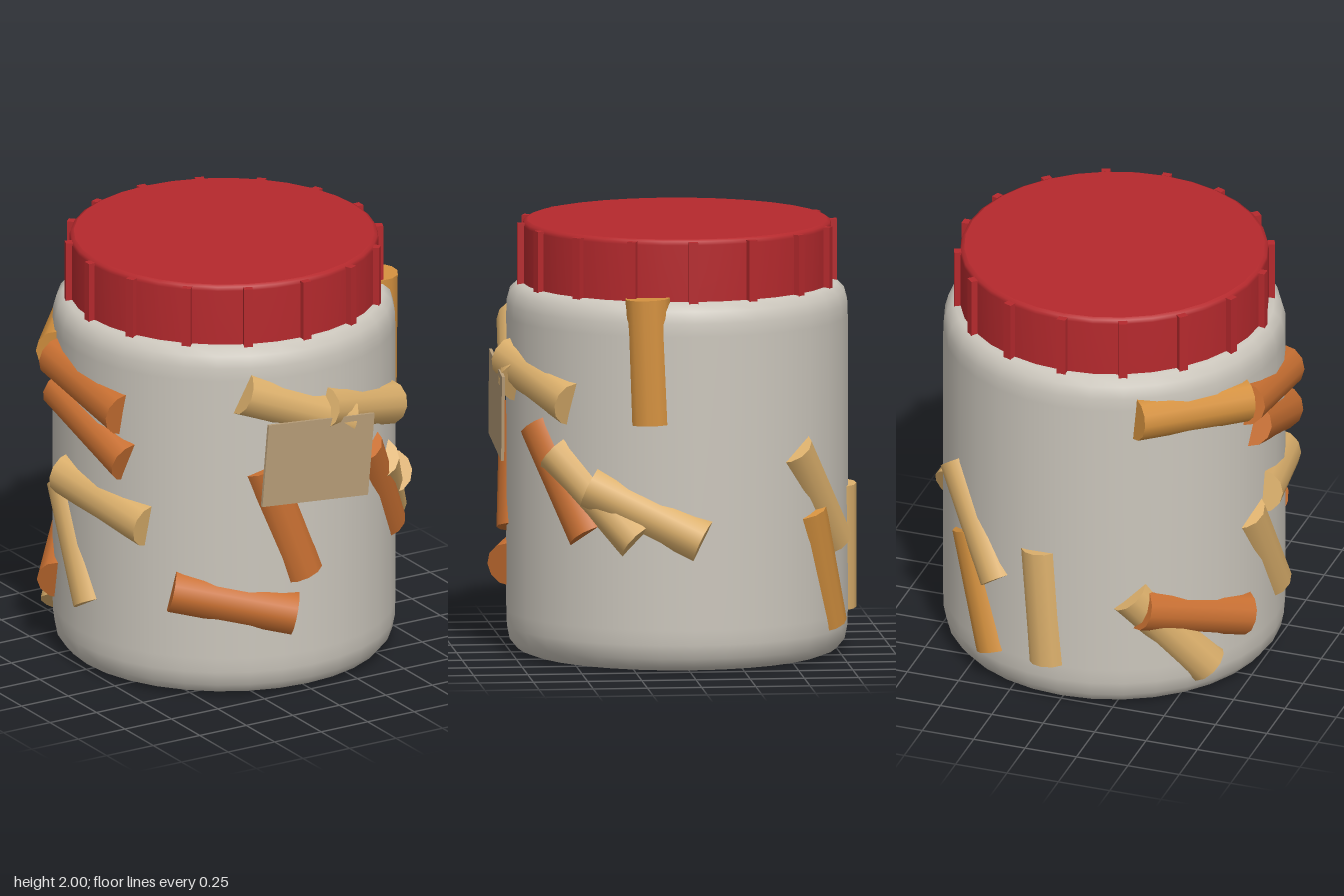
import * as THREE from 'three';

const mat = (name, color) => {
  const m = new THREE.MeshStandardMaterial({ color });
  m.name = name;
  return m;
};

export function createModel() {
  const model = new THREE.Group();
  model.name = 'jar';
  const jarMat = mat('warm grey', 0xcbc6bc);
  const lidMat = mat('red', 0xb5292d);
  const paperMat = mat('paper', 0xb79d78);
  const tones = {
    light: mat('light tan', 0xdcb06c),
    mid: mat('golden brown', 0xd4913f),
    dark: mat('burnt orange', 0xc97032),
  };

  const body = new THREE.Group();
  body.position.z = -0.017;
  model.add(body);

  const add = (name, geo, material, parent = body) => {
    const mesh = new THREE.Mesh(geo, material);
    mesh.name = name;
    parent.add(mesh);
    return mesh;
  };
  const lathe = (pts, seg = 32) =>
    new THREE.LatheGeometry(pts.map(([x, y]) => new THREE.Vector2(x, y)), seg);

  // Jar wall with rounded foot and shoulder, plus a flat base
  add('jarWall', lathe([[0.69, 0.003], [0.735, 0.02], [0.772, 0.065], [0.785, 0.13],
    [0.787, 0.2], [0.787, 1.56], [0.785, 1.62], [0.77, 1.675], [0.735, 1.71], [0.68, 1.715]]), jarMat);
  add('jarBase', new THREE.CircleGeometry(0.69, 32), jarMat).rotation.x = Math.PI / 2;
  body.getObjectByName('jarBase').position.y = 0.003;

  // Lid: side with a softened rim, flat top and underside
  add('lidSide', lathe([[0.71, 1.705], [0.71, 1.975], [0.705, 1.992], [0.69, 2.0]]), lidMat);
  const top = add('lidTop', new THREE.CircleGeometry(0.69, 32), lidMat);
  top.rotation.x = -Math.PI / 2;
  top.position.y = 2;
  const under = add('lidUnderside', new THREE.CircleGeometry(0.71, 32), lidMat);
  under.rotation.x = Math.PI / 2;
  under.position.y = 1.705;

  // Grip ribs round the lid
  const ribGeo = new THREE.BoxGeometry(0.042, 0.29, 0.042);
  for (let i = 0; i < 16; i++) {
    const a = (i / 16) * Math.PI * 2;
    const rib = add('lidRib', ribGeo, lidMat);
    rib.position.set(0.716 * Math.sin(a), 1.845, 0.716 * Math.cos(a));
    rib.rotation.y = a;
  }

  // Sticks half sunk in the wall: angle round the jar, height, run along the wall, rise, tone
  const stickGeo = new THREE.CylinderGeometry(0.104, 0.104, 0.58, 12);
  const sticks = [
    [-5, 1.39, 0.54, -0.22, 'light'],
    [25, 1.30, 0.56, -0.15, 'light'],
    [-10, 0.85, 0.19, -0.54, 'dark'],
    [-28, 0.457, 0.57, -0.125, 'dark'],
    [39, 0.86, 0.32, -0.49, 'dark'],
    [54, 0.80, 0.44, -0.39, 'light'],
    [73, 0.73, 0.52, -0.24, 'light'],
    [74, 1.44, 0.02, -0.58, 'mid'],
    [142, 0.78, 0.34, -0.46, 'light'],
    [145, 0.44, 0.19, -0.54, 'mid'],
    [174, 0.49, 0.04, -0.57, 'light'],
    [228, 1.49, 0.575, -0.05, 'mid'],
    [271, 1.39, 0.56, -0.1, 'dark'],
    [274, 1.21, 0.54, -0.2, 'dark'],
    [281, 0.87, 0.56, -0.1, 'light'],
    [264, 0.60, 0.27, -0.48, 'light'],
    [219, 0.37, 0.38, -0.44, 'light'],
    [229, 0.43, 0.54, -0.17, 'dark'],
  ];
  for (const [deg, y, run, rise, tone] of sticks) {
    const pivot = new THREE.Group();
    pivot.name = 'stickPivot';
    pivot.rotation.y = THREE.MathUtils.degToRad(deg);
    body.add(pivot);
    const stick = add('stick', stickGeo, tones[tone], pivot);
    stick.position.set(0, y, 0.72);
    stick.rotation.z = Math.atan2(run, -rise);
  }

  // Plain tilted label on the front
  const label = add('label', new THREE.BoxGeometry(0.57, 0.395, 0.014), paperMat, model);
  label.position.set(-0.003, 1.149, 0.815);
  label.rotation.z = -0.09;

  return model;
}
